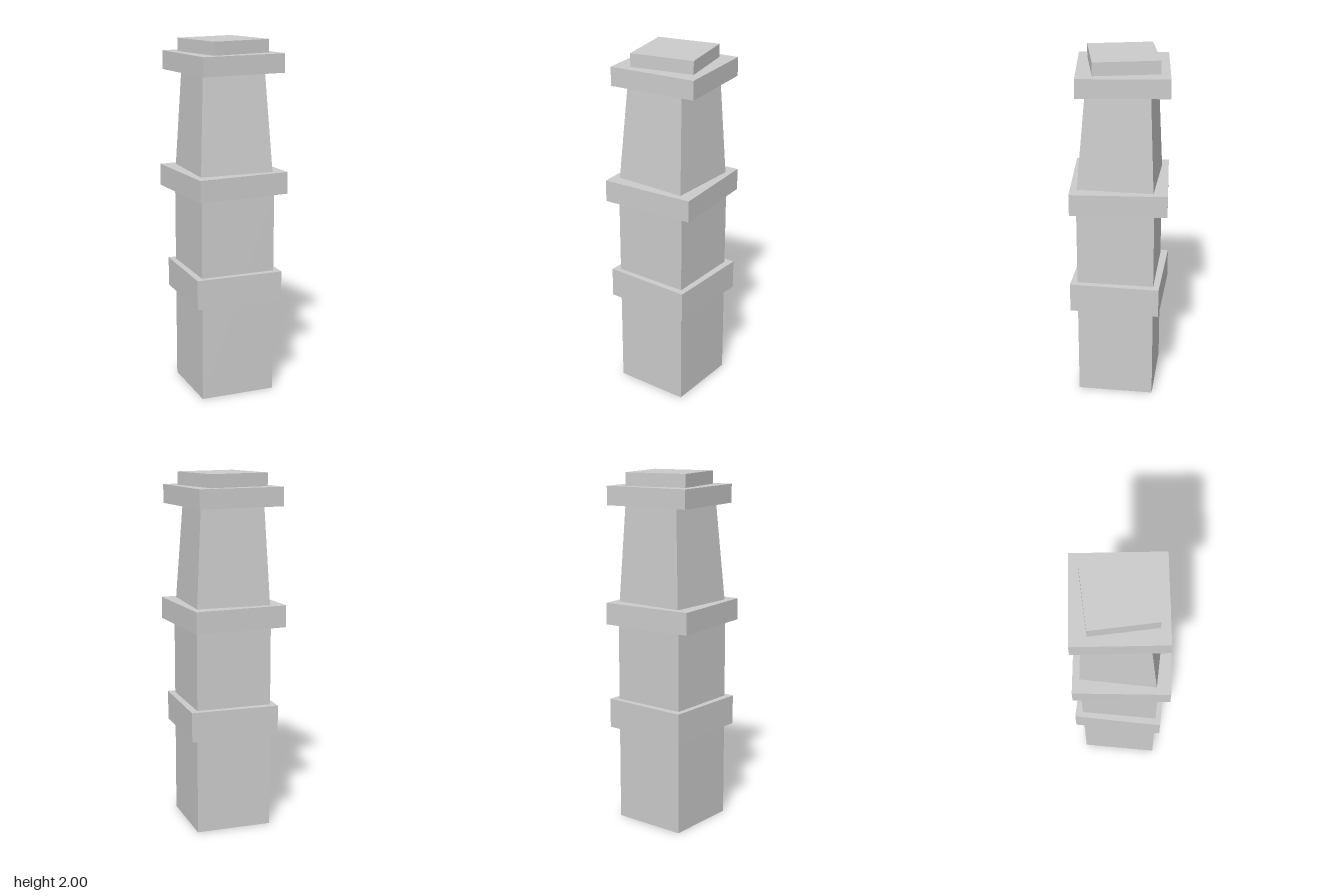
import * as THREE from 'three';

const material = new THREE.MeshStandardMaterial({ color: 0xcccccc, flatShading: true });

// Square block from y0 to y1, turned about the vertical axis
function block(name, size, y0, y1, x, z, turn = 0) {
  const mesh = new THREE.Mesh(new THREE.BoxGeometry(size, y1 - y0, size), material);
  mesh.name = name;
  mesh.position.set(x, (y0 + y1) / 2, z);
  mesh.rotation.y = turn;
  return mesh;
}

export function createModel() {
  const group = new THREE.Group();
  group.name = 'stonePillar';

  group.add(
    block('shaft', 0.43, 0, 1.17, 0.005, 0.002, 0.015),
    block('lowerBand', 0.502, 0.545, 0.713, 0.006, 0),
    block('middleSlab', 0.534, 1.157, 1.28, 0, 0, 0.094),
    block('upperSlab', 0.498, 1.822, 1.927, 0.006, -0.016, 0.129),
    block('capStone', 0.36, 1.92, 2, 0.0075, -0.016, 0.238)
  );

  // Neck: narrows upward and leans slightly back
  const neck = block('taperedNeck', 0.421, 1.275, 1.825, 0.003, 0);
  const p = neck.geometry.attributes.position;
  for (let i = 0; i < p.count; i++) {
    if (p.getY(i) > 0) {
      p.setX(i, p.getX(i) * 0.855);
      p.setZ(i, p.getZ(i) * 0.83 - 0.012);
    }
  }
  neck.geometry.computeVertexNormals();
  group.add(neck);

  return group;
}
